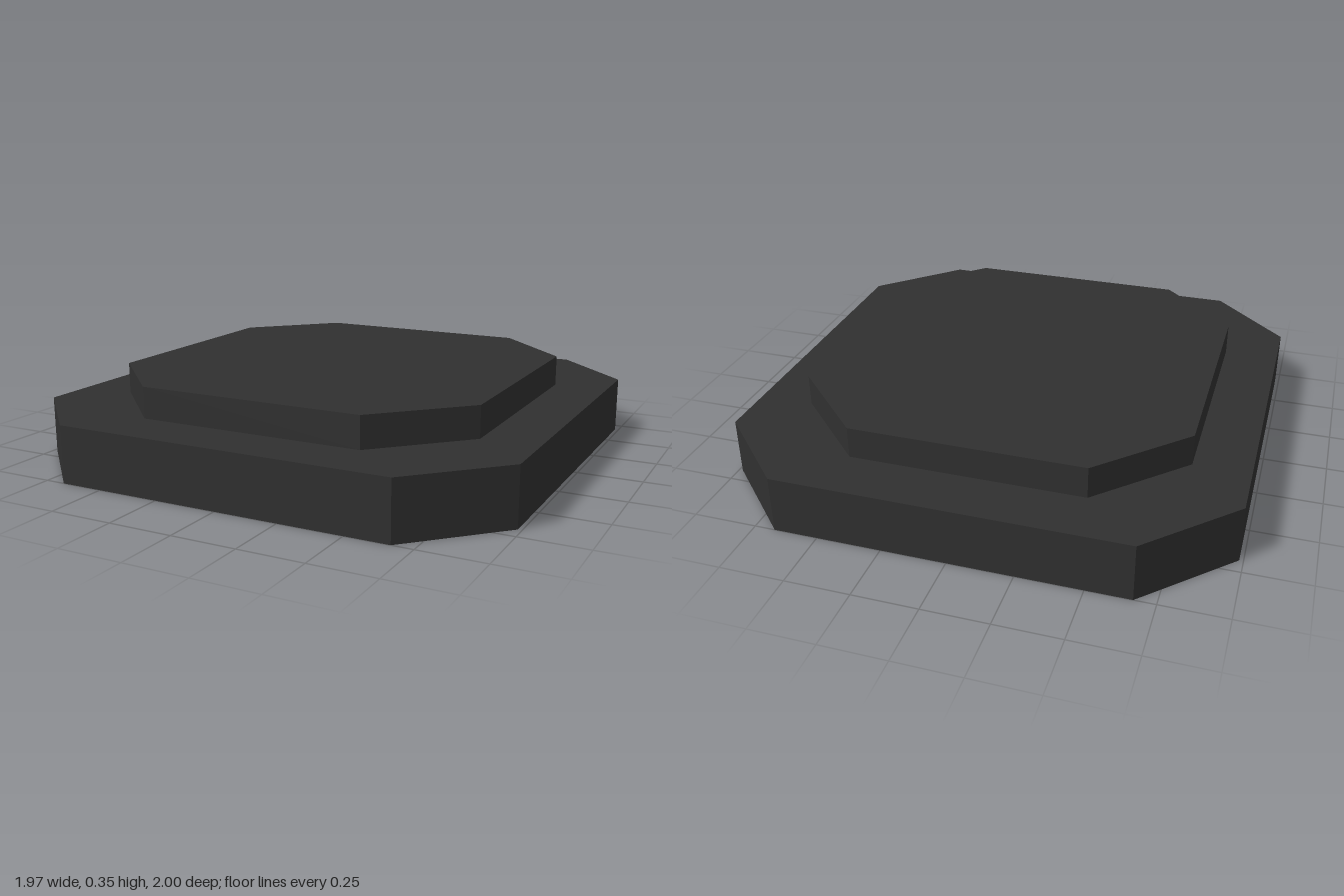
import * as THREE from 'three';

const CHAMFER = 0.315;

// Rectangular slab with chamfered corners, standing on y = bottom
function chamferedSlab(name, halfX, halfZ, bottom, top, material) {
  const x = halfX - CHAMFER, z = halfZ - CHAMFER;
  const outline = new THREE.Shape([
    [halfX, -z], [halfX, z], [x, halfZ], [-x, halfZ],
    [-halfX, z], [-halfX, -z], [-x, -halfZ], [x, -halfZ],
  ].map(([px, py]) => new THREE.Vector2(px, py)));
  const geometry = new THREE.ExtrudeGeometry(outline, { depth: top - bottom, bevelEnabled: false });
  geometry.rotateX(-Math.PI / 2);
  const mesh = new THREE.Mesh(geometry, material);
  mesh.name = name;
  mesh.position.y = bottom;
  return mesh;
}

export function createModel() {
  const charcoal = new THREE.MeshStandardMaterial({ color: 0x303030 });
  charcoal.name = 'charcoal';

  const model = new THREE.Group();
  model.name = 'steppedPlinth';
  model.add(
    chamferedSlab('lowerTier', 0.985, 1, 0, 0.225, charcoal),
    chamferedSlab('upperTier', 0.767, 0.782, 0.225, 0.348, charcoal),
  );
  return model;
}
